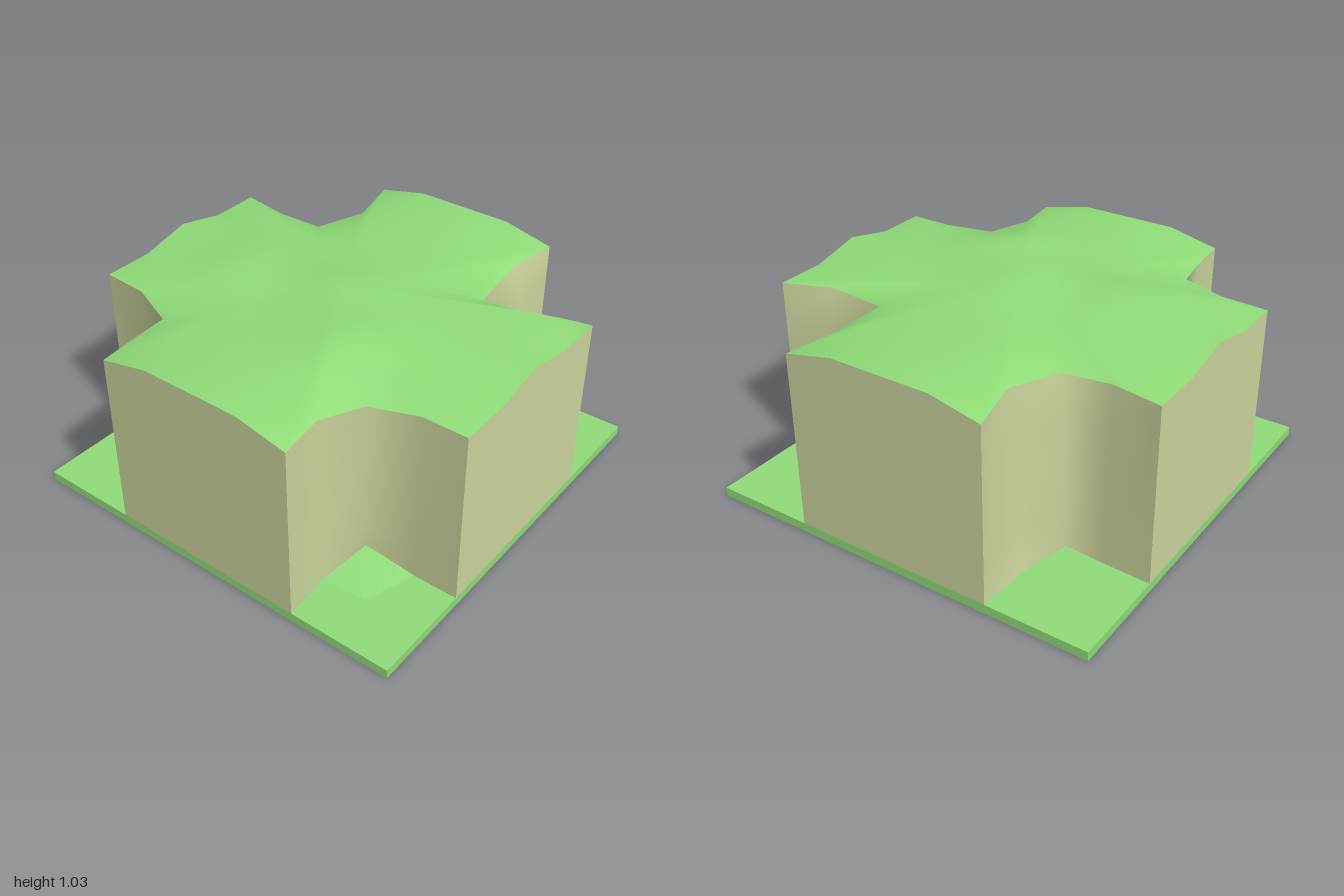
import * as THREE from 'three';
import { mergeVertices } from 'three/addons/utils/BufferGeometryUtils.js';

const grass = new THREE.MeshStandardMaterial({ color: 0x8fdc78, roughness: 1, side: THREE.DoubleSide });
const rock = new THREE.MeshStandardMaterial({ color: 0xcbd49b, roughness: 1, side: THREE.DoubleSide });
const GROUND = 0.045, RIM = 0.92;

// Corner notches, ordered from +x round to +z: [topX, topZ, topY, bottomX, bottomZ]
const notches = {
  frontLeft: [[1, 0.5, RIM, 1, 0.5], [0.74, 0.46, RIM, 0.77, 0.57], [0.41, 0.49, 0.9, 0.65, 0.64],
    [0.41, 0.76, RIM, 0.6, 0.77], [0.5, 1, RIM, 0.5, 1]],
  frontRight: [[-0.5, 1, RIM, -0.5, 1], [-0.5, 0.78, RIM, -0.5, 0.78], [-0.57, 0.56, 0.91, -0.52, 0.53],
    [-0.77, 0.47, RIM, -0.76, 0.48], [-1, 0.5, RIM, -1, 0.5]],
  backRight: [[-1, -0.5, RIM, -1, -0.5], [-0.77, -0.52, RIM, -0.76, -0.5], [-0.61, -0.54, 0.91, -0.58, -0.52],
    [-0.515, -0.77, RIM, -0.5, -0.77], [-0.5, -1, RIM, -0.5, -1]],
  backLeft: [[0.5, -1, RIM, 0.5, -1], [0.46, -0.76, RIM, 0.49, -0.76], [0.48, -0.53, 0.91, 0.48, -0.57],
    [0.72, -0.43, RIM, 0.74, -0.51], [1, -0.5, RIM, 1, -0.5]],
};

// Skin a grid of cross-section rows; each row is a list of [x, y, z]
function skin(name, rows, material) {
  const n = rows[0].length, index = [];
  for (let r = 0; r < rows.length - 1; r++) {
    for (let i = 0; i < n - 1; i++) {
      const a = r * n + i, b = a + 1, c = a + n, d = c + 1;
      index.push(a, b, d, a, d, c);
    }
  }
  let geo = new THREE.BufferGeometry();
  geo.setAttribute('position', new THREE.Float32BufferAttribute(rows.flat(2), 3));
  geo.setIndex(index);
  geo = mergeVertices(geo);
  geo.computeVertexNormals();
  const mesh = new THREE.Mesh(geo, material);
  mesh.name = name;
  return mesh;
}

// Gentle hills in the middle of the plateau
const hills = [[-0.32, 0.32, 0.06], [-0.05, 0, 0.05], [-0.1, -0.5, 0.04]];
const hillHeight = (x, z) => hills.reduce(
  (y, [hx, hz, h]) => y + h * Math.exp(-((x - hx) ** 2 + (z - hz) ** 2) / 0.0625), 0.972);

export function createModel() {
  const model = new THREE.Group();
  model.name = 'plateauTile';

  // Ground slab
  const slab = new THREE.Mesh(new THREE.BoxGeometry(2, GROUND, 2), grass);
  slab.position.y = GROUND / 2;
  slab.name = 'groundSlab';
  model.add(slab);

  // Notch cliffs, flaring towards the foot; rows are [share of the way up, share of the way to the top outline]
  const levels = [[1, 1], [0.77, 0.62], [0.21, 0.34], [0, 0]];
  const rim = [];
  const arms = { front: [0.25, 0, -0.25], right: [0.25, 0, -0.25], back: [-0.25, 0, 0.25], left: [-0.25, 0, 0.25] };
  const armNames = Object.keys(arms);
  Object.entries(notches).forEach(([name, pts], k) => {
    const rows = levels.map(([h, f]) => pts.map(([tx, tz, ty, bx, bz]) => [
      THREE.MathUtils.lerp(bx, tx, f), THREE.MathUtils.lerp(GROUND, ty, h), THREE.MathUtils.lerp(bz, tz, f)]));
    model.add(skin(name + 'NotchCliff', rows, rock));
    rim.push(...rows[0]);

    // Flat wall at the end of the next arm
    const arm = armNames[k];
    const alongX = arm === 'front' || arm === 'back';
    const side = arm === 'front' || arm === 'left' ? 1 : -1;
    const middle = arms[arm].map((s) => (alongX
      ? [s, s === 0 ? 0.975 : RIM, side]
      : [side, 0.975, s]));
    const start = rows[0][4];
    const next = Object.values(notches)[(k + 1) % 4][0];
    const end = [next[0], next[2], next[1]];
    if (alongX) {
      const top = [start, ...middle, end];
      model.add(skin(arm + 'ArmWall', [top, top.map(([x, , z]) => [x, GROUND, z])], rock));
      rim.push(...middle);
    } else {
      const top = [start, ...middle, end];
      model.add(skin(arm + 'ArmWall', [top, top.map(([x, , z]) => [x, GROUND, z])], rock));
      rim.push(...middle);
    }
  });
  rim.push(rim[0]);

  // Plateau top: rings running from the centre out to the rim
  const RINGS = 14, rings = [];
  for (let r = 0; r <= RINGS; r++) {
    const t = r / RINGS, w = t ** 4;
    rings.push(rim.map(([x, y, z]) => [x * t, THREE.MathUtils.lerp(hillHeight(x * t, z * t), y, w), z * t]));
  }
  model.add(skin('plateauTop', rings, grass));

  // Small rise of turf at the foot of one notch
  const foot = [[-0.76, GROUND, 0.48], [-0.75, GROUND, 0.7], [-0.5, GROUND, 0.78]];
  model.add(skin('turfRise', [foot.map(() => [-0.52, 0.1, 0.53]), foot], grass));
  return model;
}
